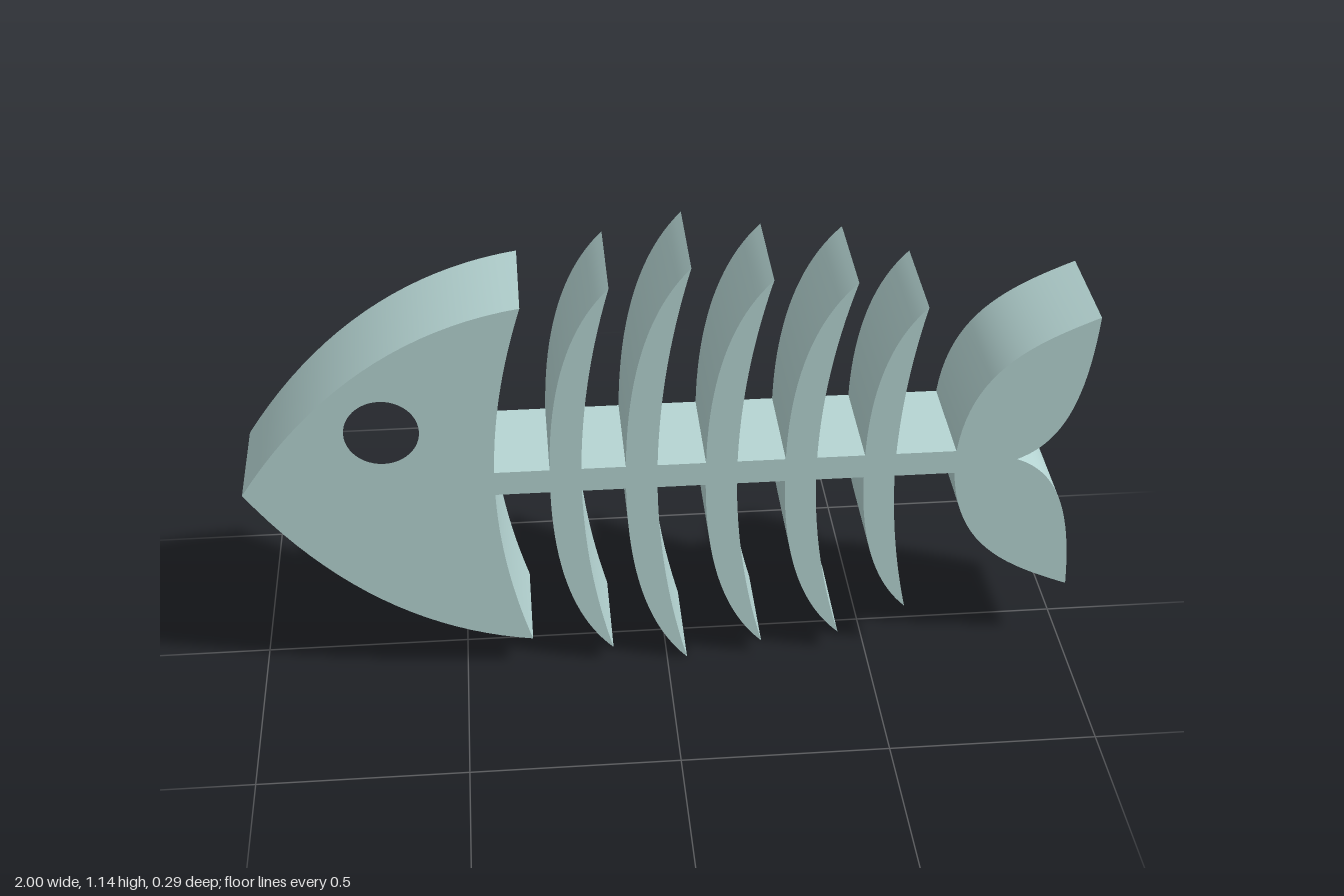
import * as THREE from 'three';
import { toCreasedNormals } from 'three/addons/utils/BufferGeometryUtils.js';

const DEPTH = 0.26;
const SPINE = 0.032; // half height of the spine
const TILT = 0.0265;

// Ribs: [front edge at spine, tip x, tip height]
const RIBS = [
  [-0.28, -0.135, 0.522],
  [-0.1, 0.05, 0.566],
  [0.09, 0.237, 0.526],
  [0.28, 0.43, 0.51],
  [0.47, 0.595, 0.437],
];

// Upper half of the outline, from nose to tail notch
function upperOutline() {
  const p = new THREE.Path();
  // head
  p.moveTo(-1, 0);
  p.quadraticCurveTo(-0.73, 0.42, -0.335, 0.48);
  p.quadraticCurveTo(-0.405, 0.25, -0.41, SPINE);
  // ribs
  for (const [x, tipX, tipY] of RIBS) {
    p.lineTo(x, SPINE);
    p.quadraticCurveTo(x + 0.005, tipY * 0.73, tipX, tipY);
    p.quadraticCurveTo(x + 0.08, tipY * 0.54, x + 0.075, SPINE);
  }
  // tail
  p.lineTo(0.69, SPINE);
  p.bezierCurveTo(0.71, 0.25, 0.83, 0.32, 1, 0.39);
  p.bezierCurveTo(0.99, 0.15, 0.94, 0.04, 0.84, 0);
  return p.getPoints(20);
}

export function createModel() {
  const group = new THREE.Group();

  // Mirror the upper half to close the outline
  const upper = upperOutline();
  const lower = upper.slice(1, -1).reverse().map((v) => new THREE.Vector2(v.x, -v.y));
  const shape = new THREE.Shape([...upper, ...lower]);

  // Eye hole
  const eye = new THREE.Path();
  eye.absarc(-0.665, 0.16, 0.087, 0, Math.PI * 2, true);
  shape.holes.push(eye);

  const geometry = new THREE.ExtrudeGeometry(shape, {
    depth: DEPTH,
    bevelEnabled: false,
    curveSegments: 24,
  });
  geometry.translate(0, 0, -DEPTH / 2);

  const skeleton = new THREE.Mesh(
    toCreasedNormals(geometry, 0.5),
    new THREE.MeshStandardMaterial({ color: 0xb5d4d2 })
  );
  skeleton.name = 'fishSkeleton';
  // Slight forward lean
  skeleton.rotation.x = TILT;
  skeleton.position.y = 0.569;
  group.add(skeleton);

  return group;
}
